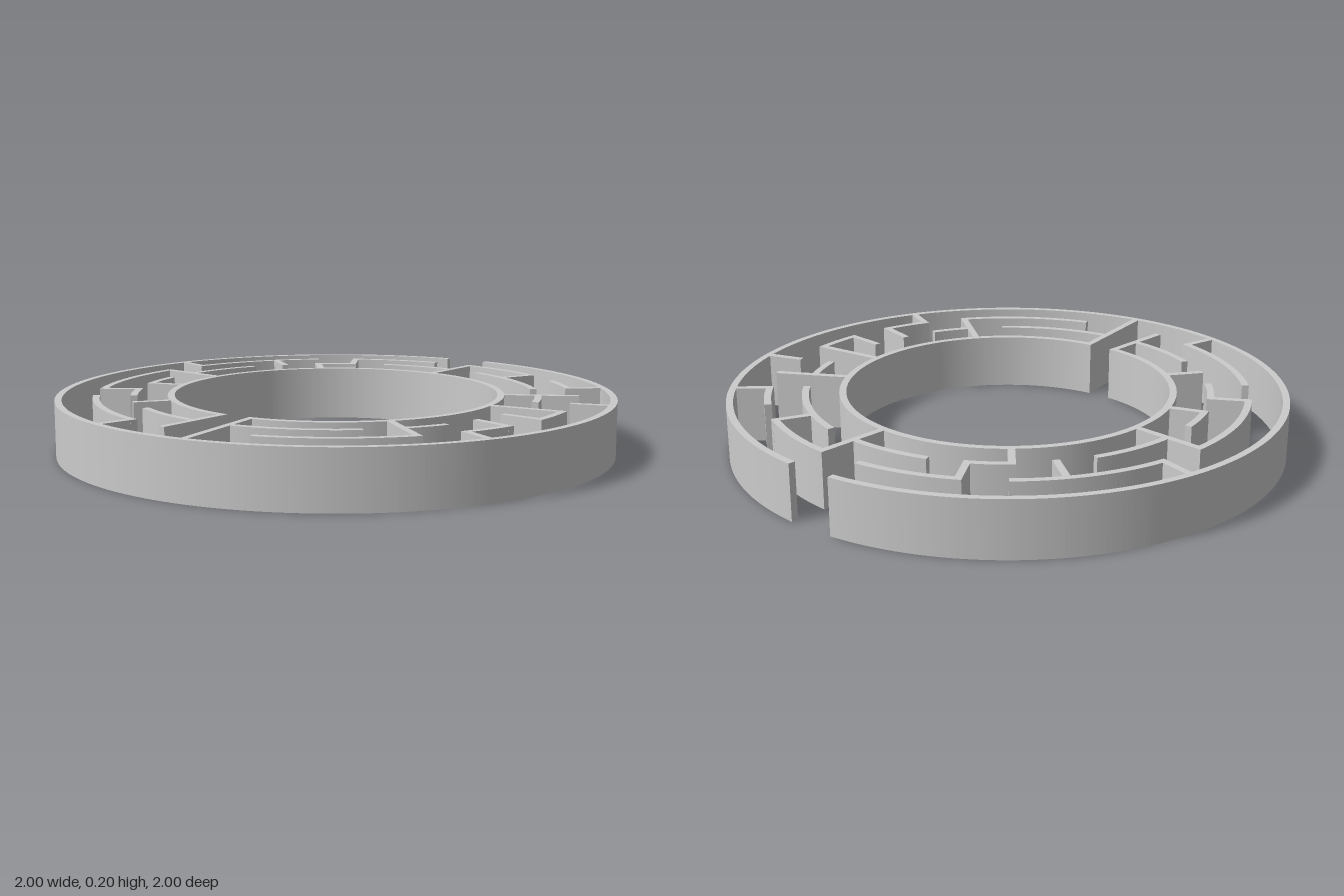
import * as THREE from 'three';

const HEIGHT = 0.2, THICK = 0.025;
const RINGS = [0.592, 0.724, 0.856, 0.9875]; // wall centre radii, inner to outer
const STEP = (Math.PI * 2) / 32;             // one maze cell, clockwise from the back (-z)

const material = new THREE.MeshStandardMaterial({ color: 0xcccccc, flatShading: true });

// Curved wall on a ring between two cell steps
function arcWall(ring, from, to) {
  const r = RINGS[ring], pad = THICK / 2 / r;
  const start = Math.PI / 2 - from * STEP + pad;
  const end = Math.PI / 2 - to * STEP - pad;
  const shape = new THREE.Shape();
  shape.absarc(0, 0, r + THICK / 2, start, end, true);
  shape.absarc(0, 0, r - THICK / 2, end, start, false);
  shape.closePath();
  const geometry = new THREE.ExtrudeGeometry(shape, {
    depth: HEIGHT, bevelEnabled: false, curveSegments: Math.ceil((to - from) * 6),
  });
  geometry.rotateX(-Math.PI / 2);
  return new THREE.Mesh(geometry, material);
}

// Straight wall pointing outward at a cell step, between two rings
function radialWall(step, inner, outer) {
  const r0 = RINGS[inner] - (inner > 0 ? THICK / 2 : 0);
  const r1 = RINGS[outer] + (outer < 3 ? THICK / 2 : 0);
  const geometry = new THREE.BoxGeometry(THICK, HEIGHT, r1 - r0);
  geometry.translate(0, HEIGHT / 2, -(r0 + r1) / 2);
  geometry.rotateY(-step * STEP);
  return new THREE.Mesh(geometry, material);
}

export function createModel() {
  const maze = new THREE.Group();
  maze.name = 'circularMaze';

  const add = (mesh, name) => {
    mesh.name = name;
    maze.add(mesh);
  };

  // Outer and inner boundary, each with a one-cell doorway
  add(arcWall(3, 1, 32), 'outerRing');
  add(arcWall(0, 17, 48), 'innerRing');

  // Curved passages: [ring, from step, to step]
  const arcs = [
    [1, -1, 1], [1, 2, 5], [1, 6, 7], [1, 11, 12], [1, 13, 16],
    [1, 17, 19], [1, 21, 22], [1, 23, 24], [1, 25, 27], [1, 29, 30],
    [2, 1, 3], [2, 4, 5], [2, 8, 9], [2, 10, 11], [2, 12, 15],
    [2, 18, 21], [2, 22, 25], [2, 26, 29], [2, 30, 32],
  ];
  arcs.forEach((a, i) => add(arcWall(...a), `curvedWall${i + 1}`));

  // Straight dividers: [step, inner ring, outer ring]
  const radials = [
    [1, 0, 2], [3, 1, 2], [5, 2, 3], [6, 0, 2], [7, 2, 3], [8, 0, 2],
    [9, 1, 2], [10, 1, 2], [11, 2, 3], [12, 0, 2], [16, 0, 3], [17, 0, 2],
    [18, 2, 3], [20, 0, 1], [22, 1, 2], [23, 0, 1], [25, 0, 2],
    [26, 2, 3], [28, 1, 2], [29, 0, 1], [30, 1, 2],
  ];
  radials.forEach((r, i) => add(radialWall(...r), `straightWall${i + 1}`));

  return maze;
}
